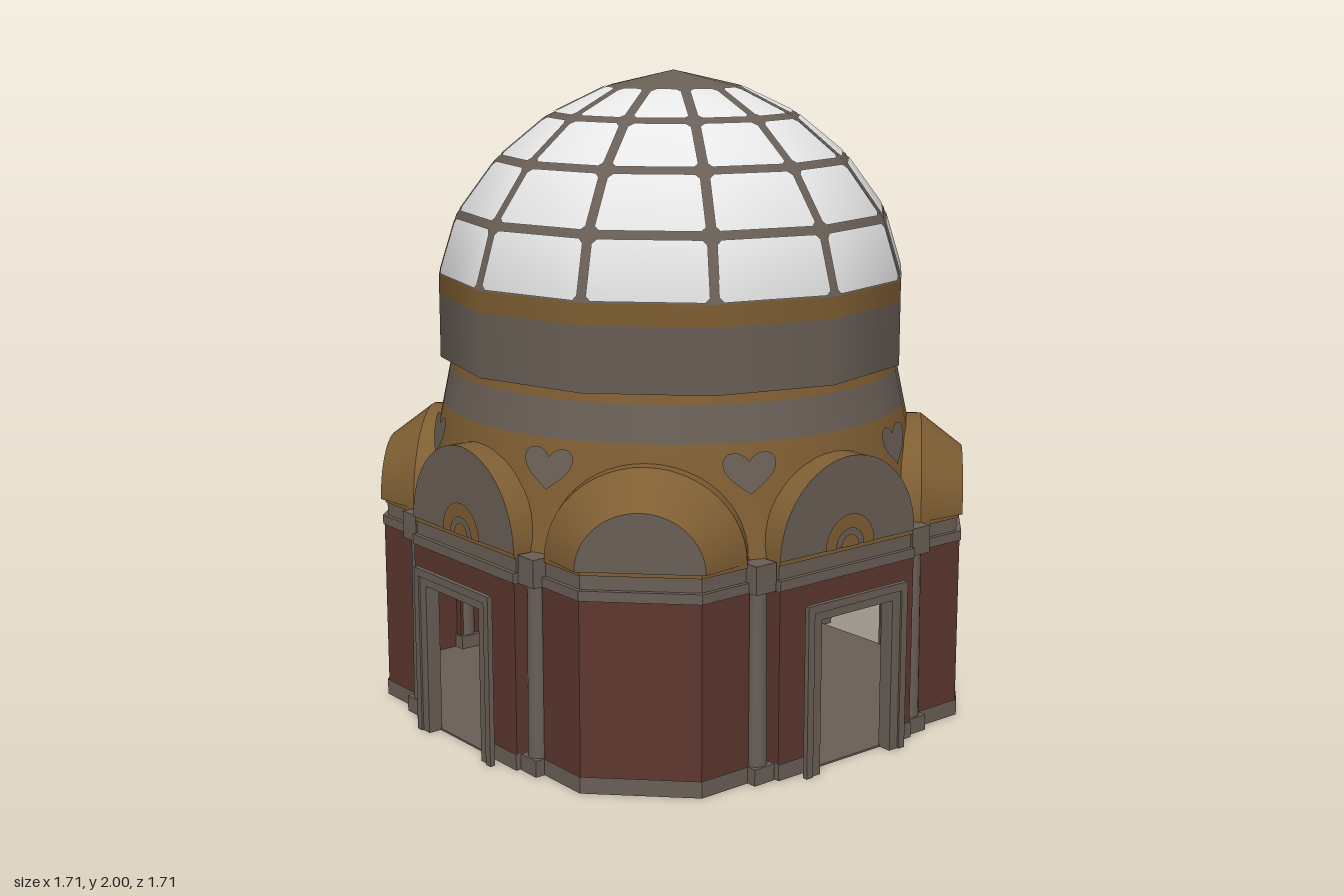
import * as THREE from 'three';

const mat = (name, color) => {
  const m = new THREE.MeshStandardMaterial({ color, side: THREE.DoubleSide });
  m.name = name;
  return m;
};

export function createModel() {
  const root = new THREE.Group();
  const stone = mat('grey brown stone', 0x695f56);
  const ochre = mat('ochre gold', 0x7f5e33);
  const maroon = mat('maroon wall', 0x5d372f);
  const white = mat('white glass', 0xe9e9e9);

  const add = (parent, name, geo, material, x = 0, y = 0, z = 0) => {
    const m = new THREE.Mesh(geo, material);
    m.name = name;
    m.position.set(x, y, z);
    parent.add(m);
    return m;
  };
  const box = (w, h, d) => new THREE.BoxGeometry(w, h, d);
  const lathe = (pts, seg) => new THREE.LatheGeometry(pts.map(p => new THREE.Vector2(...p)), seg);
  const fromTriangles = (pos) => {
    const g = new THREE.BufferGeometry();
    g.setAttribute('position', new THREE.Float32BufferAttribute(pos, 3));
    g.computeVertexNormals();
    return g;
  };

  // Quarter plan [x, z], running from the front face round to the left face
  const quarter = [[0.27, 0.81], [0.27, 0.74], [0.345, 0.74], [0.345, 0.765], [0.52, 0.765],
    [0.765, 0.52], [0.765, 0.345], [0.74, 0.345], [0.74, 0.27], [0.81, 0.27]];
  const plan = [];
  for (let k = 0; k < 4; k++) {
    for (const [x, z] of quarter) plan.push([[x, z], [z, -x], [-x, -z], [-z, x]][k]);
  }
  const slab = (scale, depth, hole) => {
    const s = new THREE.Shape(plan.map(([x, z]) => new THREE.Vector2(x * scale, -z * scale)));
    if (hole) s.holes.push(new THREE.Path().absarc(0, 0, hole, 0, Math.PI * 2));
    return new THREE.ExtrudeGeometry(s, { depth, bevelEnabled: false, curveSegments: 24 }).rotateX(-Math.PI / 2);
  };
  const wallStrip = (pts, y0, y1, s = 1) => {
    const pos = [];
    for (let i = 0; i < pts.length - 1; i++) {
      const [ax, az] = pts[i].map(v => v * s), [bx, bz] = pts[i + 1].map(v => v * s);
      pos.push(ax, y0, az, bx, y0, bz, bx, y1, bz, ax, y0, az, bx, y1, bz, ax, y1, az);
    }
    return fromTriangles(pos);
  };

  add(root, 'floor', slab(1, 0.006), stone);

  // Cornice in stacked courses
  add(root, 'corniceLower', slab(1.005, 0.03, 0.72), stone, 0, 0.57);
  add(root, 'corniceUpper', slab(0.988, 0.042, 0.72), stone, 0, 0.6);
  add(root, 'corniceGoldLine', slab(0.995, 0.013, 0.72), ochre, 0, 0.642);

  // Half-round vault shell along z, r0 at the back and r1 at the front
  const vault = (r0, r1, z0, z1) => new THREE.CylinderGeometry(r1, r0, z1 - z0, 24, 1, true, Math.PI / 2, Math.PI)
    .rotateX(Math.PI / 2).translate(0, 0, (z0 + z1) / 2);
  const halfDisc = (r) => new THREE.CircleGeometry(r, 24, 0, Math.PI);
  const halfRing = (r0, r1) => new THREE.RingGeometry(r0, r1, 20, 1, 0, Math.PI);

  // Door frame bands as an upside-down U
  const frame = (w0, h0, w1, h1, depth) => {
    const s = new THREE.Shape([[-w1, 0], [-w1, h1], [w1, h1], [w1, 0], [w0, 0], [w0, h0], [-w0, h0], [-w0, 0]]
      .map(p => new THREE.Vector2(...p)));
    return new THREE.ExtrudeGeometry(s, { depth, bevelEnabled: false });
  };

  // Heart ornament outline
  const heart = new THREE.Shape();
  heart.moveTo(0, -0.065);
  heart.bezierCurveTo(0.03, -0.04, 0.085, -0.01, 0.08, 0.03);
  heart.bezierCurveTo(0.075, 0.065, 0.02, 0.065, 0, 0.03);
  heart.bezierCurveTo(-0.02, 0.065, -0.075, 0.065, -0.08, 0.03);
  heart.bezierCurveTo(-0.085, -0.01, -0.03, -0.04, 0, -0.065);

  for (let k = 0; k < 4; k++) {
    // Walls, plinth, columns and doorway of one side
    const side = new THREE.Group();
    side.name = 'side' + (k + 1);
    side.rotation.y = k * Math.PI / 2;
    root.add(side);
    const run = [[0.145, 0.81], ...quarter, [0.81, 0.145]];
    add(side, 'wall', wallStrip(run, 0, 0.575), maroon);
    add(side, 'plinth', wallStrip(run, 0, 0.05, 1.005), stone);
    add(side, 'wallOverDoor', wallStrip([[-0.145, 0.81], [0.145, 0.81]], 0.47, 0.575), maroon);
    add(side, 'doorReveal', frame(0.143, 0.47, 0.15, 0.477, 0.045), stone, 0, 0, 0.805);
    add(side, 'doorFrameInner', frame(0.143, 0.47, 0.178, 0.498, 0.008), stone, 0, 0, 0.843);
    add(side, 'doorFrameOuter', frame(0.176, 0.496, 0.2, 0.52, 0.016), stone, 0, 0, 0.841);
    for (const [x, z] of [[0.313, 0.762], [0.762, 0.313]]) {
      add(side, 'column', new THREE.CylinderGeometry(0.027, 0.032, 0.52, 16), stone, x, 0.31, z);
      add(side, 'columnBase', box(0.075, 0.05, 0.075), stone, x, 0.025, z);
      add(side, 'columnCapital', box(0.075, 0.085, 0.075), stone, x, 0.612, z);
    }

    // Round-headed lunette over the doorway
    const lunette = new THREE.Group();
    lunette.name = 'lunette';
    lunette.position.y = 0.655;
    side.add(lunette);
    add(lunette, 'lunetteVault', vault(0.27, 0.27, 0.66, 0.81), ochre);
    add(lunette, 'lunetteFace', halfDisc(0.27), stone, 0, 0, 0.81);
    add(lunette, 'lunetteRing', halfRing(0.055, 0.098), ochre, 0, 0, 0.814);
    add(lunette, 'lunetteDisc', halfDisc(0.036), ochre, 0, 0, 0.814);

    // Tapered vault over the diagonal bay
    const bay = new THREE.Group();
    bay.name = 'cornerVault';
    bay.position.y = 0.655;
    bay.rotation.y = Math.PI / 4;
    bay.scale.y = 0.94;
    side.add(bay);
    add(bay, 'vaultBack', vault(0.29, 0.29, 0.62, 0.785), ochre);
    add(bay, 'vaultTaper', vault(0.29, 0.185, 0.785, 0.915), ochre);
    add(bay, 'vaultFace', halfDisc(0.185), stone, 0, 0, 0.915);

    // Hearts between the arches
    for (const a of [Math.PI / 8, 3 * Math.PI / 8]) {
      const mount = new THREE.Group();
      mount.name = 'heartMount';
      mount.rotation.y = a;
      side.add(mount);
      add(mount, 'heart', new THREE.ShapeGeometry(heart, 8), stone, 0, 0.9, 0.757).rotation.x = -0.21;
    }
  }

  // Tapering body and its bands
  add(root, 'bodyLower', lathe([[0.80, 0.65], [0.765, 0.8], [0.74, 0.93], [0.729, 0.98]], 48), ochre);
  add(root, 'bodyBand', lathe([[0.729, 0.98], [0.706, 1.09]], 48), stone);
  add(root, 'bodyGoldLine', lathe([[0.706, 1.09], [0.70, 1.12]], 48), ochre);

  // Twelve-sided drum
  add(root, 'drumUnderside', lathe([[0.68, 1.12], [0.735, 1.12]], 12), stone);
  add(root, 'drum', lathe([[0.735, 1.12], [0.735, 1.315]], 12), stone);
  add(root, 'drumGoldBand', lathe([[0.735, 1.315], [0.735, 1.38]], 12), ochre);

  // Dome: stone ribs beneath, inset white panels on top
  const rings = [[0.735, 1.38], [0.677, 1.565], [0.55, 1.735], [0.39, 1.865], [0.205, 1.953], [0, 2]];
  add(root, 'domeRibs', lathe(rings, 12), stone);
  const normalAt = (p) => new THREE.Vector3(p.x / 0.54, (p.y - 1.33) / 0.45, p.z / 0.54).normalize();
  const pos = [], nor = [];
  const at = ([r, y], a) => new THREE.Vector3(r * Math.sin(a), y, r * Math.cos(a));
  for (let i = 0; i < 4; i++) {
    for (let j = 0; j < 12; j++) {
      const a0 = j * Math.PI / 6, a1 = a0 + Math.PI / 6;
      const p00 = at(rings[i], a0), p10 = at(rings[i], a1), p01 = at(rings[i + 1], a0), p11 = at(rings[i + 1], a1);
      const height = p00.distanceTo(p01), low = i === 0 ? 0.004 : 0.013;
      // s and t are insets from the panel edges; corners are clipped
      const point = (right, top, s, t) => {
        const v = top ? 1 - t / height : t / height;
        const l = p00.clone().lerp(p01, v), r = p10.clone().lerp(p11, v);
        const u = s / l.distanceTo(r);
        const p = l.lerp(r, right ? 1 - u : u);
        return p.addScaledVector(normalAt(p), 0.004);
      };
      const e = 0.014, c = 0.014;
      const loop = [point(0, 0, e + c, low), point(1, 0, e + c, low), point(1, 0, e, low + c), point(1, 1, e, 0.013 + c),
        point(1, 1, e + c, 0.013), point(0, 1, e + c, 0.013), point(0, 1, e, 0.013 + c), point(0, 0, e, low + c)];
      for (let n = 1; n < 7; n++) {
        for (const p of [loop[0], loop[n], loop[n + 1]]) {
          pos.push(p.x, p.y, p.z);
          nor.push(...normalAt(p).toArray());
        }
      }
    }
  }
  const panels = fromTriangles(pos);
  panels.setAttribute('normal', new THREE.Float32BufferAttribute(nor, 3));
  add(root, 'domePanels', panels, white);

  return root;
}
